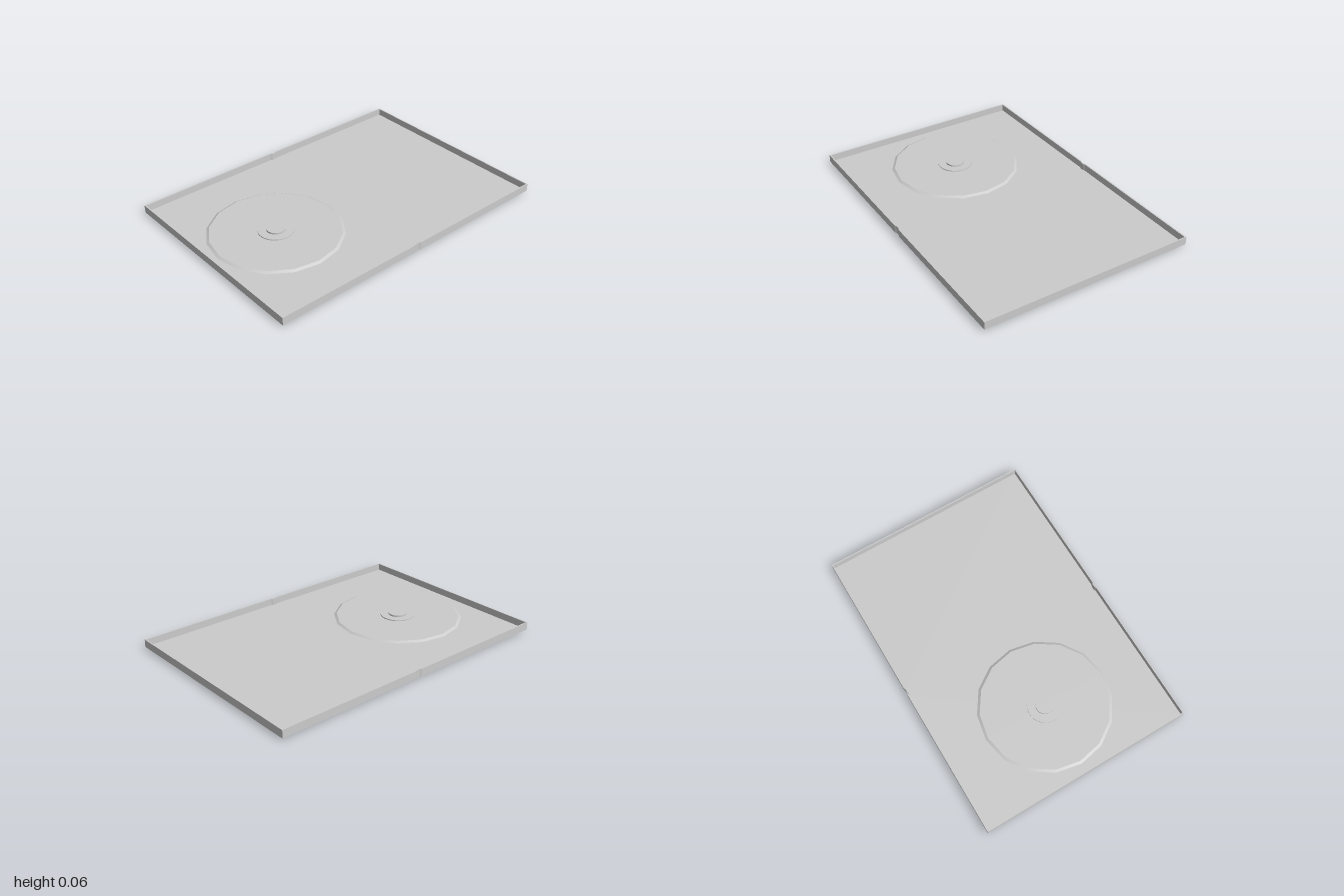
import * as THREE from 'three';

const W = 1, D = 0.7;      // half width and half depth
const BOTTOM = 0.01, FLOOR = 0.018, TOP = 0.064;
const material = new THREE.MeshStandardMaterial({ color: 0xcccccc });

// Rectangle outline inset by t, with a shallow hinge groove in the middle of each long edge
function outline(t, PathType) {
  const w = W - t, d = D - t, g = 0.006;
  return new PathType([
    [-w, -d], [-0.025, -d], [-0.012, -d + g], [0.012, -d + g], [0.025, -d],
    [w, -d], [w, d], [0.025, d], [0.012, d - g], [-0.012, d - g], [-0.025, d], [-w, d],
  ].map(([x, y]) => new THREE.Vector2(x, y)));
}

// Extrudes a shape upwards between two heights
function slab(shape, y0, y1) {
  return new THREE.ExtrudeGeometry(shape, { depth: y1 - y0, bevelEnabled: false })
    .rotateX(-Math.PI / 2).translate(0, y0, 0);
}

function add(parent, name, geometry) {
  const mesh = new THREE.Mesh(geometry, material);
  mesh.name = name;
  parent.add(mesh);
  return mesh;
}

export function createModel() {
  const model = new THREE.Group();
  model.name = 'openDiscCase';

  // Floor panel and thin rim around it
  add(model, 'floor', slab(outline(0.004, THREE.Shape), BOTTOM, FLOOR));
  const rim = outline(0, THREE.Shape);
  rim.holes.push(outline(0.008, THREE.Path));
  add(model, 'rim', slab(rim, BOTTOM + 0.003, TOP));

  // Hinge ridge under the middle, fading out towards both ends
  const hinge = new THREE.CylinderGeometry(0.014, 0.014, 1.38, 8, 6).rotateX(Math.PI / 2);
  const p = hinge.attributes.position;
  for (let i = 0; i < p.count; i++) {
    const depth = 0.01 * (1 - 0.5 * (p.getZ(i) / D) ** 2);
    p.setY(i, 0.01 + p.getY(i) / 0.014 * (p.getY(i) < 0 ? depth : 0.006));
  }
  hinge.computeVertexNormals();
  add(model, 'hinge', hinge);

  // Raised sixteen-sided disc seat with a bevelled edge
  const seat = new THREE.Group();
  seat.name = 'discSeat';
  seat.position.set(-0.51, FLOOR, 0);
  model.add(seat);
  const plate = new THREE.CylinderGeometry(0.408, 0.425, 0.01, 16, 1);
  add(seat, 'seatPlate', plate.translate(0, 0.005, 0));

  // Stepped hub in the middle of the seat
  [[0.113, 0.016], [0.06, 0.026]].forEach(([r, h], i) => {
    add(seat, i ? 'hubButton' : 'hubBase',
      new THREE.CylinderGeometry(r, r, h, 32).translate(0, h / 2, 0));
  });

  return model;
}
